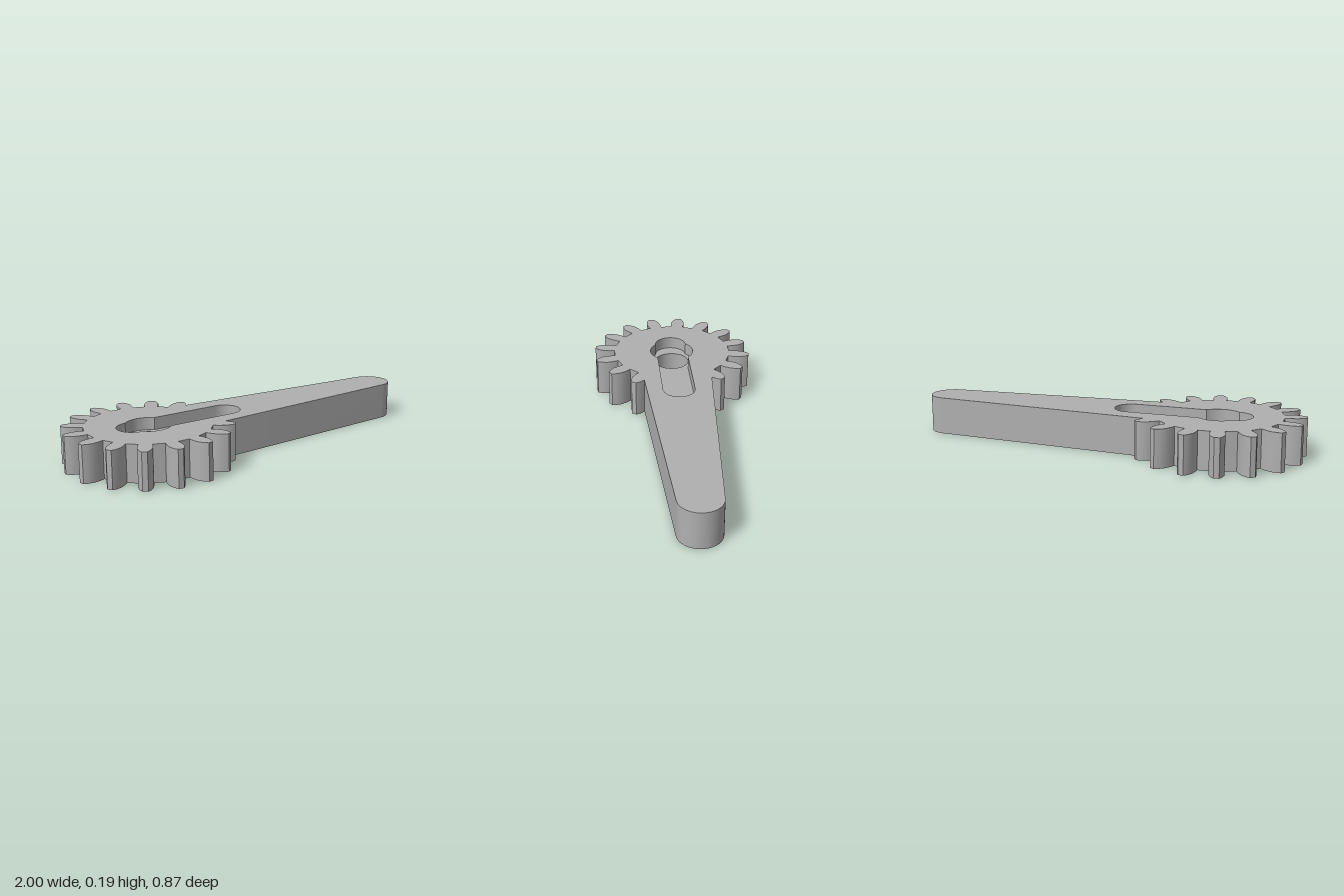
import * as THREE from 'three';
import { toCreasedNormals } from 'three/addons/utils/BufferGeometryUtils.js';

const HEIGHT = 0.195, FLOOR = 0.13;      // plate thickness, pocket floor level
const GEAR_X = -0.565, ARM_ANGLE = THREE.MathUtils.degToRad(10.3);
const ARM_LENGTH = 1.479, HUB_R = 0.2, TIP_R = 0.11;
const TEETH = 16;

// Plan points are (x, -z) around the gear centre, counter-clockwise
const v = (x, y) => new THREE.Vector2(x, y);

function arc(cx, cy, r, from, to, n) {
  const pts = [];
  for (let i = 0; i <= n; i++) {
    const a = from + (to - from) * i / n;
    pts.push(v(cx + r * Math.cos(a), cy + r * Math.sin(a)));
  }
  return pts;
}

const origin = v(0, 0);
const turn = (pts, a) => pts.map(p => p.clone().rotateAround(origin, a));

// Gear teeth on the free side, closed by the tapered arm with a round tip
function bodyOutline() {
  const flank = [[0.323, 0.033], [0.35, 0.037], [0.385, 0.037], [0.415, 0.027], [0.435, 0.0135]];
  const tooth = [
    ...flank.map(([r, w]) => v(r, -w)),
    ...flank.slice().reverse().map(([r, w]) => v(r, w)),
  ];
  const pts = [];
  const first = 2, last = 15;
  for (let i = first; i <= last; i++) {
    // the teeth beside the arm merge into it at their widest point
    const part = i === first ? tooth.slice(2) : i === last ? tooth.slice(0, -2) : tooth;
    pts.push(...turn(part, i * Math.PI * 2 / TEETH));
  }
  const spread = Math.acos((HUB_R - TIP_R) / ARM_LENGTH);
  pts.push(...turn(arc(ARM_LENGTH, 0, TIP_R, -spread, spread, 32), ARM_ANGLE));
  return pts;
}

// Slot along the arm, widened by a circle around the bore
function pocketOutline() {
  const r = 0.085, R = 0.12, q = Math.asin(r / R), P = Math.PI;
  return turn([
    ...arc(0.458, 0, r, -P / 2, P / 2, 24),
    ...arc(0, 0, R, q, P - q, 16),
    ...arc(-0.086, 0, r, P / 2, P * 1.5, 24),
    ...arc(0, 0, R, P + q, 2 * P - q, 16),
  ], ARM_ANGLE);
}

// Upright wall following a closed loop; inward walls face the hollow
function wall(loop, y0, y1, inward = false) {
  const pts = inward ? loop.slice().reverse() : loop;
  const pos = [];
  pts.forEach((p, i) => {
    const q = pts[(i + 1) % pts.length];
    pos.push(p.x, y0, -p.y, q.x, y0, -q.y, q.x, y1, -q.y);
    pos.push(p.x, y0, -p.y, q.x, y1, -q.y, p.x, y1, -p.y);
  });
  const g = new THREE.BufferGeometry();
  g.setAttribute('position', new THREE.Float32BufferAttribute(pos, 3));
  return toCreasedNormals(g, 0.62);
}

// Flat face with one opening
function face(loop, hole, y, down = false) {
  const shape = new THREE.Shape(loop);
  shape.holes.push(new THREE.Path(hole));
  const g = new THREE.ShapeGeometry(shape);
  g.rotateX(-Math.PI / 2).translate(0, y, 0);
  if (down) {
    g.index.array.reverse();
    g.computeVertexNormals();
  }
  return g;
}

export function createModel() {
  const steel = new THREE.MeshStandardMaterial({ color: 0xb0b0b0 });
  steel.name = 'plain grey';

  const group = new THREE.Group();
  group.name = 'gearLever';
  const add = (name, geometry) => {
    const mesh = new THREE.Mesh(geometry, steel);
    mesh.name = name;
    mesh.position.x = GEAR_X;
    group.add(mesh);
  };

  const body = bodyOutline();
  const pocket = pocketOutline();
  const bore = arc(0, 0, 0.0935, 0, Math.PI * 2, 48).slice(0, -1);

  add('gearAndArmSides', wall(body, 0, HEIGHT));
  add('topFace', face(body, pocket, HEIGHT));
  add('bottomFace', face(body, bore, 0, true));
  add('pocketSides', wall(pocket, FLOOR, HEIGHT, true));
  add('pocketFloor', face(pocket, bore, FLOOR));
  add('shaftBore', wall(bore, 0, FLOOR, true));
  return group;
}
